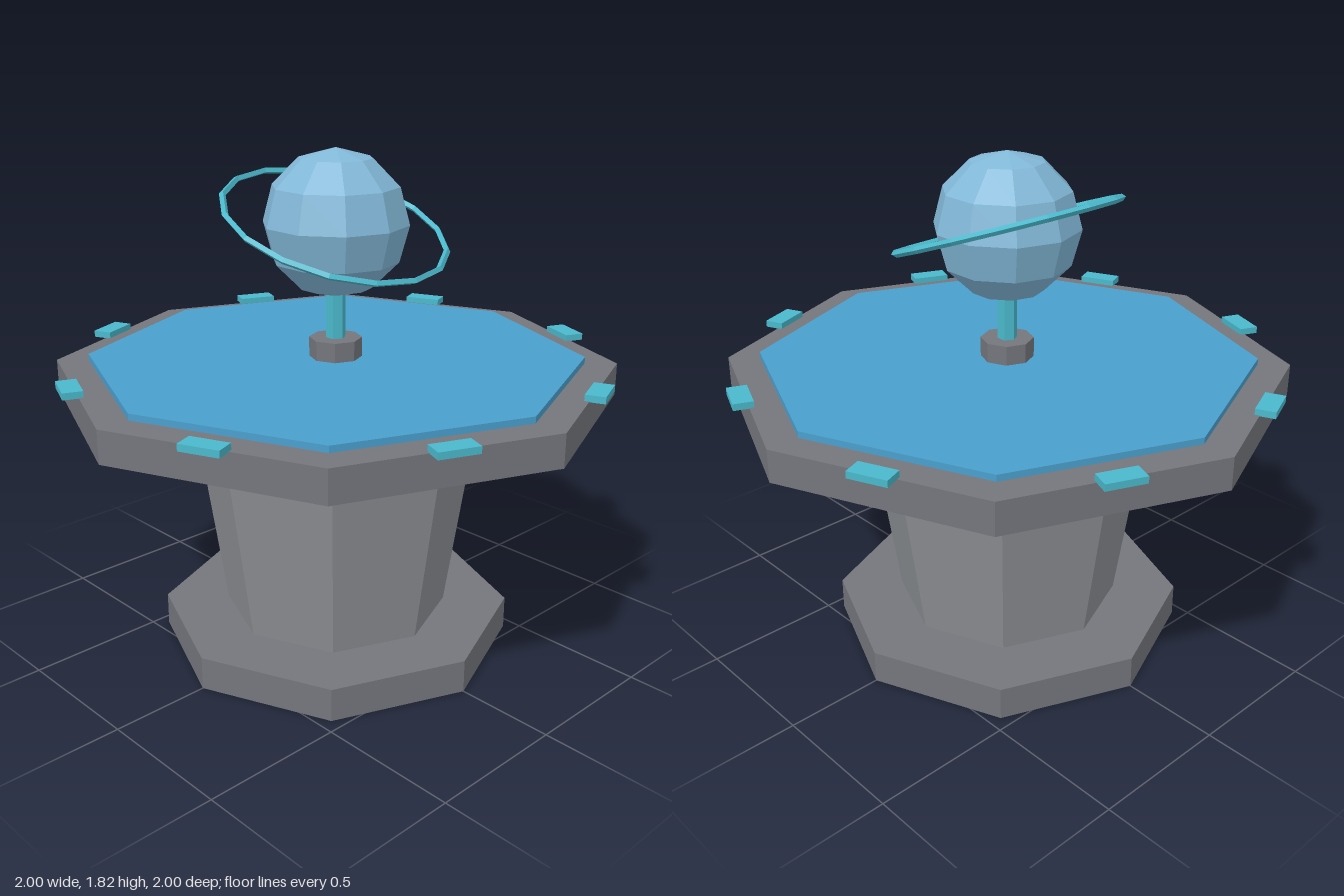
import * as THREE from 'three';

export function createModel() {
  const model = new THREE.Group();
  model.name = 'globeTable';

  const material = (name, color) => {
    const m = new THREE.MeshStandardMaterial({ color, flatShading: true });
    m.name = name;
    return m;
  };
  const stone = material('darkStone', 0x74767c);
  const paleStone = material('paleStone', 0x8c8f93);
  const blue = material('blueSurface', 0x4a9fcd);
  const teal = material('teal', 0x4ab8cb);
  const sky = material('skyBlue', 0x82b8d8);

  const add = (name, geometry, mat, y = 0) => {
    const mesh = new THREE.Mesh(geometry, mat);
    mesh.name = name;
    mesh.position.y = y;
    model.add(mesh);
    return mesh;
  };
  // Faceted prism standing between two heights, with a corner facing the front
  const prism = (name, rTop, rBottom, y0, y1, mat, sides = 8) =>
    add(name, new THREE.CylinderGeometry(rTop, rBottom, y1 - y0, sides), mat, (y0 + y1) / 2);

  // Pedestal and table
  prism('foot', 0.645, 0.645, 0, 0.12, stone);
  prism('column', 0.53, 0.41, 0.12, 0.945, paleStone);
  prism('tableTop', 1, 1, 0.945, 1.06, stone);
  prism('tableSurface', 0.885, 0.885, 1.06, 1.083, blue);

  // One tab in the middle of each table edge
  for (let i = 0; i < 8; i++) {
    const angle = (i + 0.5) * Math.PI / 4;
    const tab = add('edgeTab', new THREE.BoxGeometry(0.14, 0.024, 0.07), teal, 1.07);
    tab.position.x = 0.942 * Math.sin(angle);
    tab.position.z = 0.942 * Math.cos(angle);
    tab.rotation.y = angle;
  }

  // Globe on its stand
  prism('globeSocket', 0.094, 0.094, 1.083, 1.153, stone);
  prism('globeRod', 0.035, 0.035, 1.153, 1.33, teal, 6);
  const globe = add('globe', new THREE.SphereGeometry(0.257, 10, 6), sky, 1.558);
  globe.rotation.y = Math.PI / 2;

  // Tilted orbit ring, lower at the front
  const ring = add('orbitRing', new THREE.TorusGeometry(0.398, 0.012, 4, 16), teal, 1.558);
  ring.rotation.x = THREE.MathUtils.degToRad(110.5);

  return model;
}
